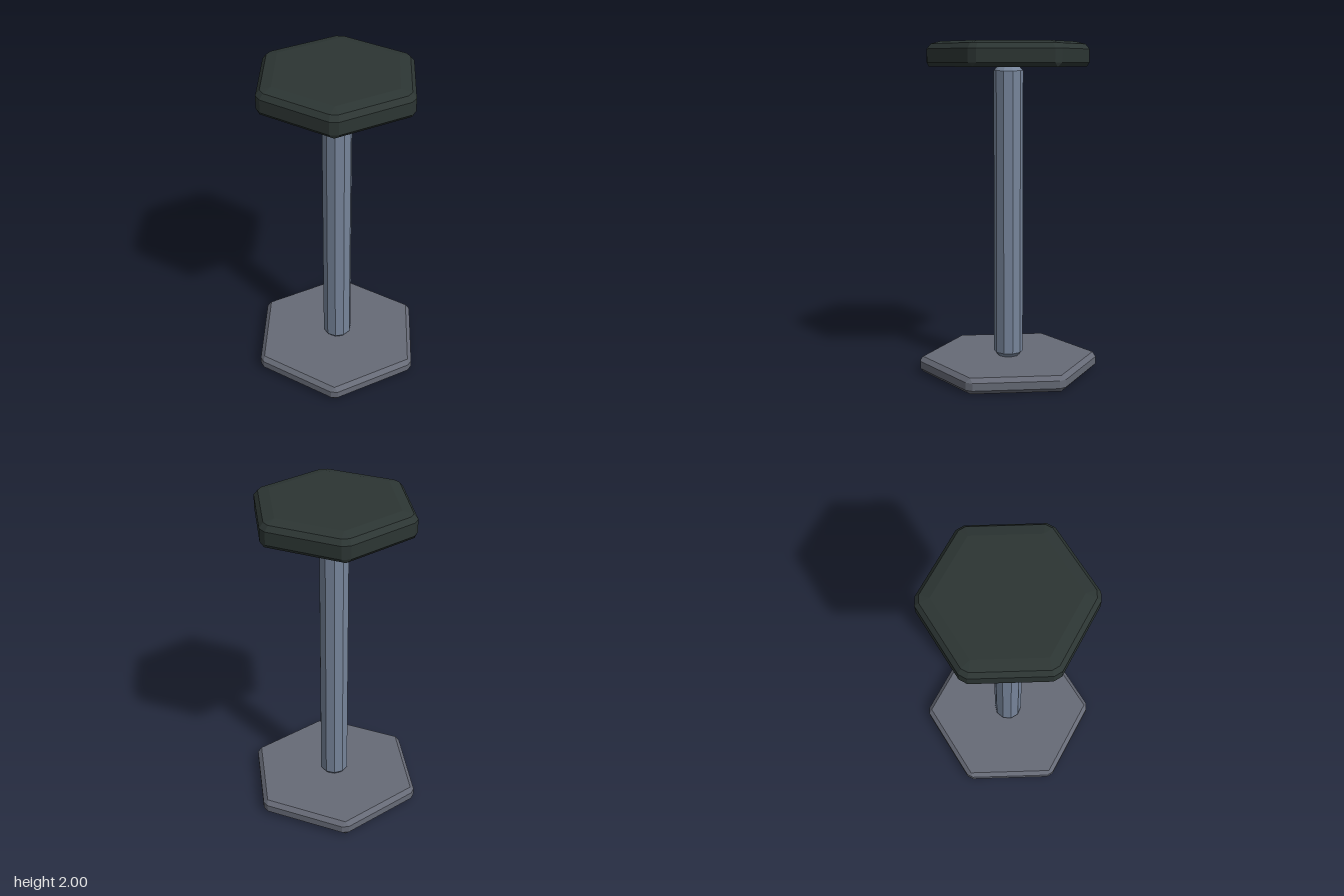
import * as THREE from 'three';

// One hexagonal ring: apothem, height and how far each corner is cut along its edges
function hexRing([apothem, y, cut]) {
  const R = apothem / Math.cos(Math.PI / 6);
  const corner = (k) => new THREE.Vector3(R * Math.cos(k * Math.PI / 3), y, R * Math.sin(k * Math.PI / 3));
  const ring = [];
  for (let k = 0; k < 6; k++) {
    const c = corner(k);
    for (const step of [-1, 1]) {
      const dir = corner(k + step).sub(c).normalize();
      ring.push(c.clone().addScaledVector(dir, cut));
    }
  }
  return ring;
}

// Closed bevelled slab through a list of rings, from bottom to top
function hexSlab(levels) {
  const rings = levels.map(hexRing);
  const pos = [];
  const tri = (a, b, c) => {
    const area = b.clone().sub(a).cross(c.clone().sub(a)).length();
    if (area > 1e-9) for (const p of [a, b, c]) pos.push(p.x, p.y, p.z);
  };
  const bottom = new THREE.Vector3(0, levels[0][1], 0);
  const top = new THREE.Vector3(0, levels[levels.length - 1][1], 0);
  const last = rings[rings.length - 1];
  for (let i = 0; i < 12; i++) {
    const j = (i + 1) % 12;
    for (let r = 0; r < rings.length - 1; r++) {
      const lo = rings[r], hi = rings[r + 1];
      tri(lo[i], hi[i], lo[j]);
      tri(lo[j], hi[i], hi[j]);
    }
    tri(bottom, rings[0][i], rings[0][j]);
    tri(top, last[j], last[i]);
  }
  const geo = new THREE.BufferGeometry();
  geo.setAttribute('position', new THREE.Float32BufferAttribute(pos, 3));
  geo.computeVertexNormals();
  return geo;
}

export function createModel() {
  const material = (name, color) => {
    const m = new THREE.MeshStandardMaterial({ color, flatShading: true });
    m.name = name;
    return m;
  };
  const group = new THREE.Group();
  group.name = 'stool';
  const add = (name, geo, mat) => {
    const mesh = new THREE.Mesh(geo, mat);
    mesh.name = name;
    group.add(mesh);
  };

  // Floor plate with a small bevel on every edge
  add('base', hexSlab([
    [0.455, 0, 0], [0.48, 0.025, 0.025], [0.48, 0.07, 0.025], [0.455, 0.095, 0],
  ]), material('base grey', 0x666a76));

  // Ten-sided post with chamfered ends
  const profile = [[0, 0.095], [0.066, 0.095], [0.088, 0.12], [0.088, 1.828], [0.066, 1.853], [0, 1.853]];
  add('post', new THREE.LatheGeometry(profile.map(([r, y]) => new THREE.Vector2(r, y)), 10),
    material('post blue grey', 0x76849a));

  // Cushion with a soft two-step top edge
  add('seat', hexSlab([
    [0.408, 1.852, 0], [0.43, 1.877, 0.03], [0.43, 1.955, 0.03], [0.407, 1.985, 0.026], [0.345, 2, 0],
  ]), material('seat dark green', 0x2c3533));

  return group;
}
